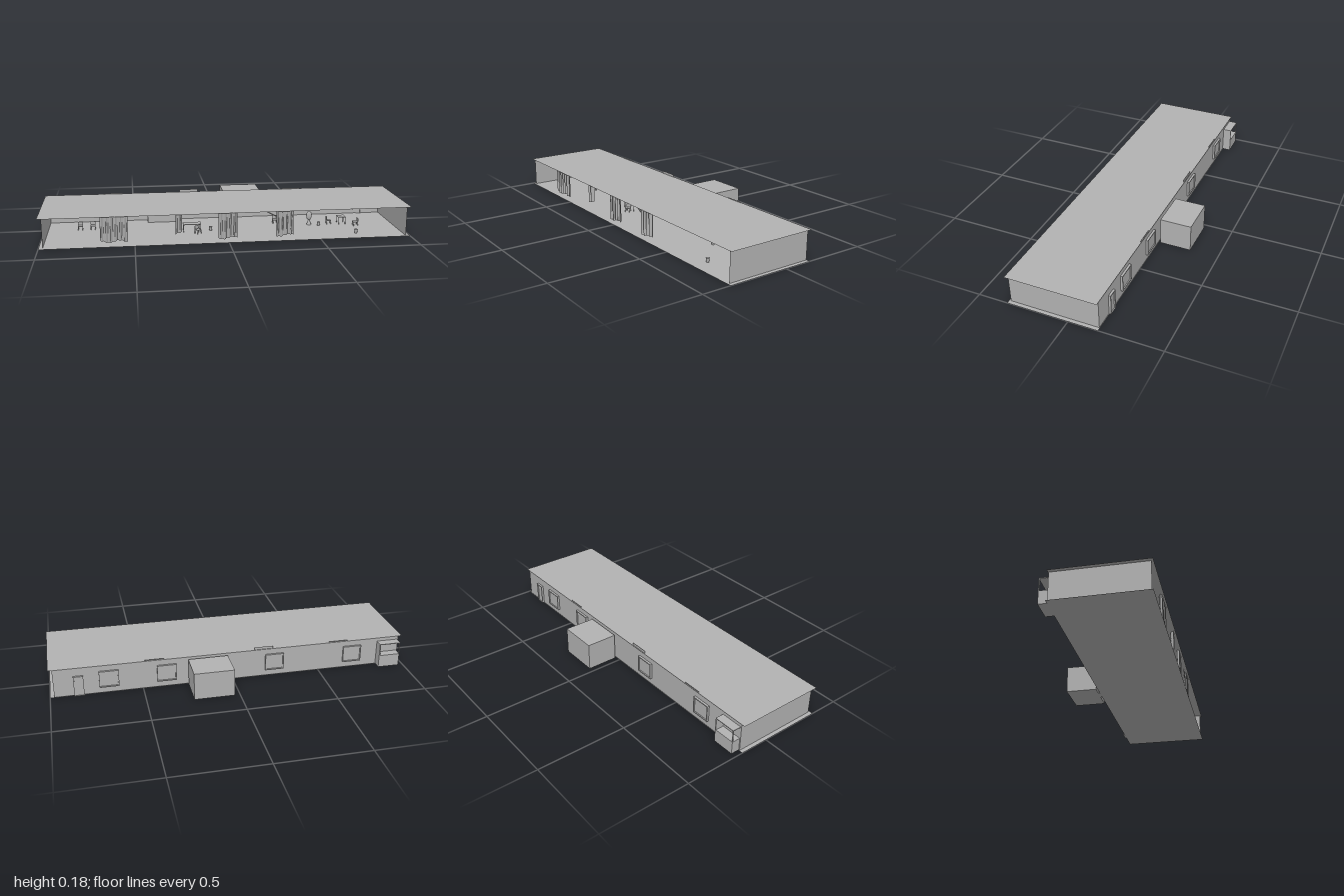
import * as THREE from 'three';

export function createModel() {
  const model = new THREE.Group();
  const grey = new THREE.MeshStandardMaterial({ color: 0xb2b2b2, side: THREE.DoubleSide });
  grey.name = 'plain grey';

  const add = (name, geometry, parent = model) => {
    const mesh = new THREE.Mesh(geometry, grey);
    mesh.name = name;
    parent.add(mesh);
    return mesh;
  };
  // Box given by its limits on each axis
  const box = (name, x0, x1, y0, y1, z0, z1, parent) => {
    const mesh = add(name, new THREE.BoxGeometry(x1 - x0, y1 - y0, z1 - z0), parent);
    mesh.position.set((x0 + x1) / 2, (y0 + y1) / 2, (z0 + z1) / 2);
    return mesh;
  };
  const group = (name, x = 0, z = 0, turn = 0) => {
    const g = new THREE.Group();
    g.name = name;
    g.position.set(x, 0, z);
    g.rotation.y = turn;
    model.add(g);
    return g;
  };

  // Shell: thin floor and roof, back wall and two ends, open at the front
  const back = -0.157, front = 0.34, height = 0.163;
  for (const [name, y] of [['floor', 0], ['roof', height]]) {
    const sheet = add(name, new THREE.PlaneGeometry(2, 0.5).rotateX(-Math.PI / 2));
    sheet.position.set(0, y, 0.09);
  }
  const wall = add('backWall', new THREE.PlaneGeometry(1.956, height));
  wall.position.set(0, height / 2, back);
  for (const side of [-1, 1]) {
    const end = add('endWall', new THREE.PlaneGeometry(front - back - 0.01, height).rotateY(Math.PI / 2));
    end.position.set(side * 0.978, height / 2, (front + back) / 2 - 0.005);
  }

  // Block standing behind the back wall
  box('rearBlock', 0.03, 0.25, 0, 0.153, -0.343, -0.169);

  // Windows and doors: raised frames around a flat panel
  const framed = (name, x0, x1, y0, y1) => {
    const t = 0.006;
    const outline = new THREE.Shape([[x0, y0], [x1, y0], [x1, y1], [x0, y1]].map(p => new THREE.Vector2(...p)));
    const bottom = y0 > 0 ? y0 + t : y0 + 0.001;
    outline.holes.push(new THREE.Path([[x0 + t, bottom], [x0 + t, y1 - t], [x1 - t, y1 - t], [x1 - t, bottom]]
      .map(p => new THREE.Vector2(...p))));
    const g = group(name);
    const frame = add(name + 'Frame', new THREE.ExtrudeGeometry(outline, { depth: 0.015, bevelEnabled: false }), g);
    frame.position.z = -0.169;
    box(name + 'Panel', x0 + t, x1 - t, bottom, y1 - t, -0.163, -0.158, g);
  };
  for (const x of [-0.698, -0.24, 0.368, 0.682]) framed('window', x - 0.053, x + 0.053, 0.035, 0.13);
  for (const x of [0.123, 0.845]) framed('door', x - 0.027, x + 0.027, 0, 0.115);

  // Bay with a low counter and an open upper half
  const bay = group('bay');
  box('bayCounter', -0.972, -0.85, 0, 0.072, -0.205, back, bay);
  box('bayTop', -0.972, -0.85, 0.138, 0.142, -0.205, back, bay);
  box('baySide', -0.856, -0.85, 0.072, 0.138, -0.205, back, bay);
  box('bayPost', -0.972, -0.968, 0.072, 0.138, -0.205, -0.2, bay);

  // Flat boards on the back wall rising past the roof
  for (const [x0, x1, y0, y1] of [[-0.67, -0.56, 0.09, 0.168], [-0.23, -0.125, 0.098, 0.178], [0.38, 0.485, 0.086, 0.168]]) {
    const board = add('wallBoard', new THREE.PlaneGeometry(x1 - x0, y1 - y0));
    board.position.set((x0 + x1) / 2, (y0 + y1) / 2, -0.155);
  }

  // Pleated curtains along the open front
  for (const [x0, x1, y0] of [[-0.68, -0.535, 0.025], [-0.285, -0.25, 0.06], [-0.055, 0.045, 0.022], [0.255, 0.35, 0.025]]) {
    const w = x1 - x0, h = 0.161 - y0;
    const geometry = new THREE.PlaneGeometry(w, h, Math.round(w / 0.006), 1);
    const p = geometry.attributes.position;
    for (let i = 0; i < p.count; i++) {
      p.setZ(i, Math.sin((p.getX(i) / 0.024) * Math.PI * 2) * 0.009);
      if (p.getY(i) < 0) p.setY(i, p.getY(i) + 0.006 * Math.sin(p.getX(i) * 60));
    }
    geometry.computeVertexNormals();
    add('curtain', geometry).position.set((x0 + x1) / 2, y0 + h / 2, 0.322);
  }
  // Gathered curtain corner
  const drape = box('curtainDrape', 0.2, 0.26, 0.143, 0.148, 0.32, 0.322);
  drape.rotation.z = -0.5;

  // Counter with a box on top, tall cabinet
  box('counter', -0.42, -0.25, 0, 0.058, -0.15, -0.1);
  box('counterBox', -0.385, -0.295, 0.058, 0.085, -0.15, -0.12);
  box('cabinet', -0.09, -0.045, 0.058, 0.161, -0.155, -0.13);

  // Open shelf
  const shelf = group('shelf');
  for (const x of [-0.505, -0.448]) box('shelfSide', x, x + 0.004, 0.035, 0.098, -0.155, -0.13, shelf);
  for (const y of [0.038, 0.056, 0.074, 0.092]) box('shelfBoard', -0.505, -0.444, y, y + 0.003, -0.155, -0.13, shelf);

  // Tables and chairs
  const legs = (g, w, d, h) => {
    for (const sx of [-1, 1]) for (const sz of [-1, 1]) {
      box('leg', sx * w - 0.0015, sx * w + 0.0015, 0, h, sz * d - 0.0015, sz * d + 0.0015, g);
    }
  };
  const chair = (x, z, turn) => {
    const g = group('chair', x, z, turn);
    legs(g, 0.012, 0.012, 0.02);
    box('chairSeat', -0.014, 0.014, 0.02, 0.023, -0.014, 0.014, g);
    box('chairBack', -0.014, 0.014, 0.025, 0.043, -0.014, -0.011, g);
  };
  const table = (x, z, w, h) => {
    const g = group('table', x, z);
    legs(g, w - 0.003, 0.022, h);
    box('tableTop', -w, w, h, h + 0.003, -0.025, 0.025, g);
  };
  for (const [x, z, turn] of [[-0.8, 0, 0], [-0.73, 0, 0], [-0.635, 0.1, 1.57], [-0.15, 0.15, 0.6],
    [0.31, 0, 0], [0.615, 0.05, 1.57], [0.76, 0.1, -1.57]]) chair(x, z, turn);
  table(-0.18, 0.1, 0.05, 0.042);
  table(0.69, 0.05, 0.022, 0.04);

  // Tall rounded seat on a pedestal
  const pedestal = group('pedestalSeat', 0.5, 0.05);
  add('pedestalStem', new THREE.CylinderGeometry(0.004, 0.014, 0.03, 12), pedestal).position.y = 0.015;
  const shell = add('pedestalShell', new THREE.SphereGeometry(0.016, 16, 12), pedestal);
  shell.scale.set(1, 1.7, 0.6);
  shell.position.y = 0.053;

  // Small low stools
  for (const [x, z] of [[-0.075, 0.1], [0.55, 0.08], [0.72, 0.25]]) {
    add('stool', new THREE.CylinderGeometry(0.01, 0.007, 0.022, 12)).position.set(x, 0.011, z);
  }
  return model;
}
